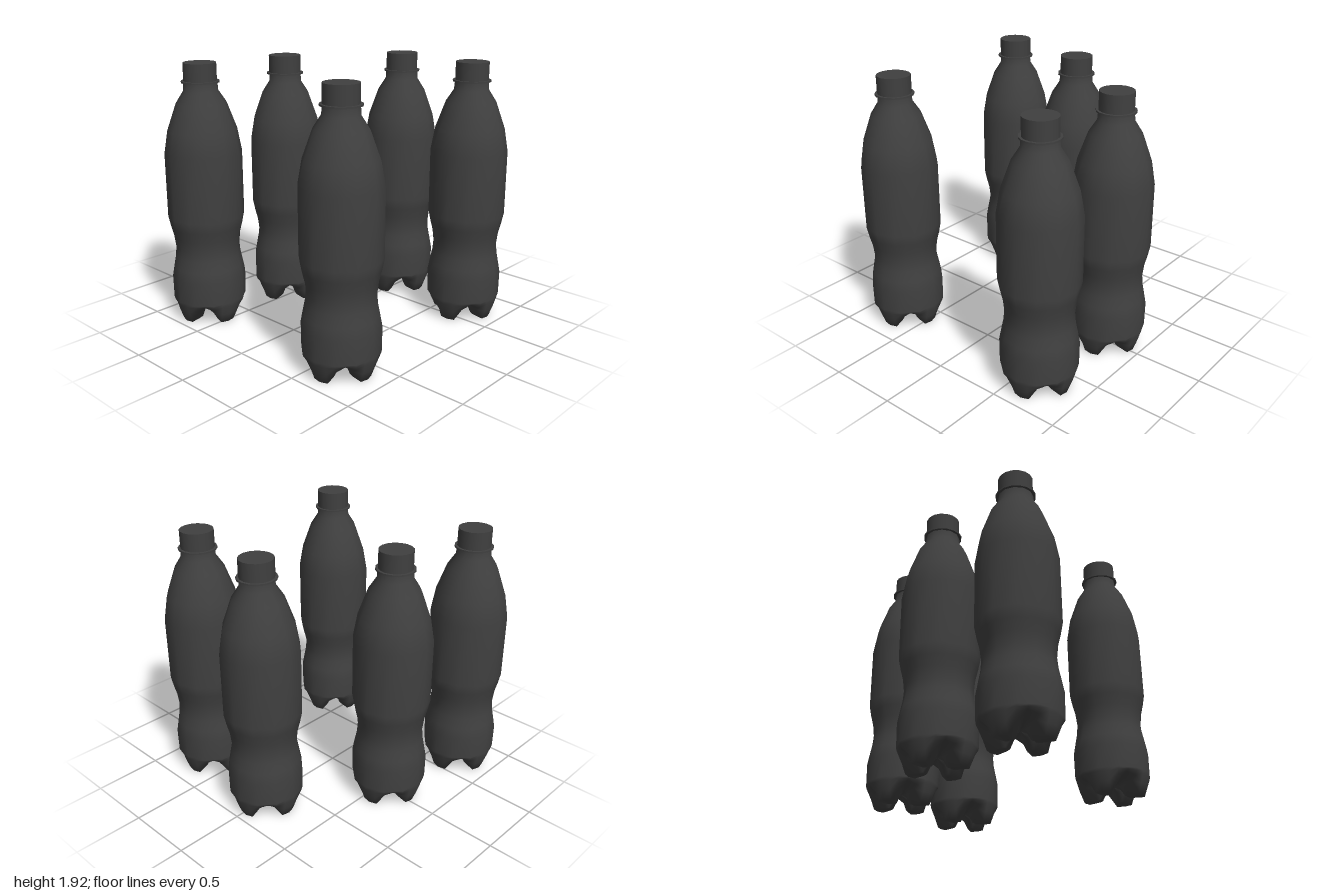
import * as THREE from 'three';

const SIDES = 24; // pairs of columns form a twelve-sided body
const plastic = new THREE.MeshStandardMaterial({ color: 0x404040 });

// Underside rows from the centre outwards: foot radius, foot height, valley radius, valley height
const BASE = [
  [0, 0.09, 0, 0.09],
  [0.06, 0.06, 0.06, 0.095],
  [0.1, 0.005, 0.1, 0.11],
  [0.125, 0, 0.14, 0.12],
  [0.224, 0, 0.2, 0.13],
  [0.25, 0.07, 0.245, 0.137],
  [0.268, 0.135, 0.266, 0.147],
];
// Wall rows going up: radius, height
const WALL = [
  [0.27, 0.16], [0.272, 0.33], [0.257, 0.41], [0.241, 0.49], [0.235, 0.56], [0.245, 0.645],
  [0.264, 0.72], [0.28, 0.8], [0.28, 1.27], [0.25, 1.44], [0.18, 1.635], [0.125, 1.72], [0.12, 1.79],
];
// How far each column belongs to a valley between two of the four feet
const VALLEY = [0, 0, 0.65, 1, 0.65, 0];

function bottleShell() {
  const rows = [...BASE, ...WALL.map(([r, y]) => [r, y, r, y])];
  const position = [], index = [];
  rows.forEach(([r, y, rv, yv], i) => {
    for (let j = 0; j < SIDES; j++) {
      const a = (j / SIDES) * Math.PI * 2, v = VALLEY[j % 6];
      const flat = j % 2 ? Math.cos(Math.PI / 12) : 1; // midpoints lie on the flat sides
      const rad = (r + (rv - r) * v) * flat;
      position.push(rad * Math.cos(a), y + (yv - y) * v, rad * Math.sin(a));
      if (i === rows.length - 1) continue;
      const p = i * SIDES + j, q = i * SIDES + ((j + 1) % SIDES);
      index.push(p, p + SIDES, q, q, p + SIDES, q + SIDES);
    }
  });
  const g = new THREE.BufferGeometry();
  g.setAttribute('position', new THREE.Float32BufferAttribute(position, 3));
  g.setIndex(index);
  g.computeVertexNormals();
  return g;
}

export function createModel() {
  const model = new THREE.Group();
  model.name = 'bottles';

  const parts = [
    ['body', bottleShell(), 0],
    ['neckRing', new THREE.CylinderGeometry(0.138, 0.138, 0.012, 16), 1.785],
    ['cap', new THREE.CylinderGeometry(0.12, 0.12, 0.135, 16), 1.8525],
  ];

  // x, z and turn of each bottle
  const places = [
    [-0.015, -0.72, 0.06], [0.69, -0.645, 0.08], [-0.565, 0.01, 0.06],
    [-0.693, 0.715, -0.06], [0.65, 0.685, 0.07],
  ];
  places.forEach(([x, z, turn], i) => {
    const bottle = new THREE.Group();
    bottle.name = `bottle${i + 1}`;
    for (const [name, geometry, y] of parts) {
      const mesh = new THREE.Mesh(geometry, plastic);
      mesh.name = name;
      mesh.position.y = y;
      bottle.add(mesh);
    }
    bottle.position.set(x, 0, z);
    bottle.rotation.y = turn;
    model.add(bottle);
  });
  return model;
}
